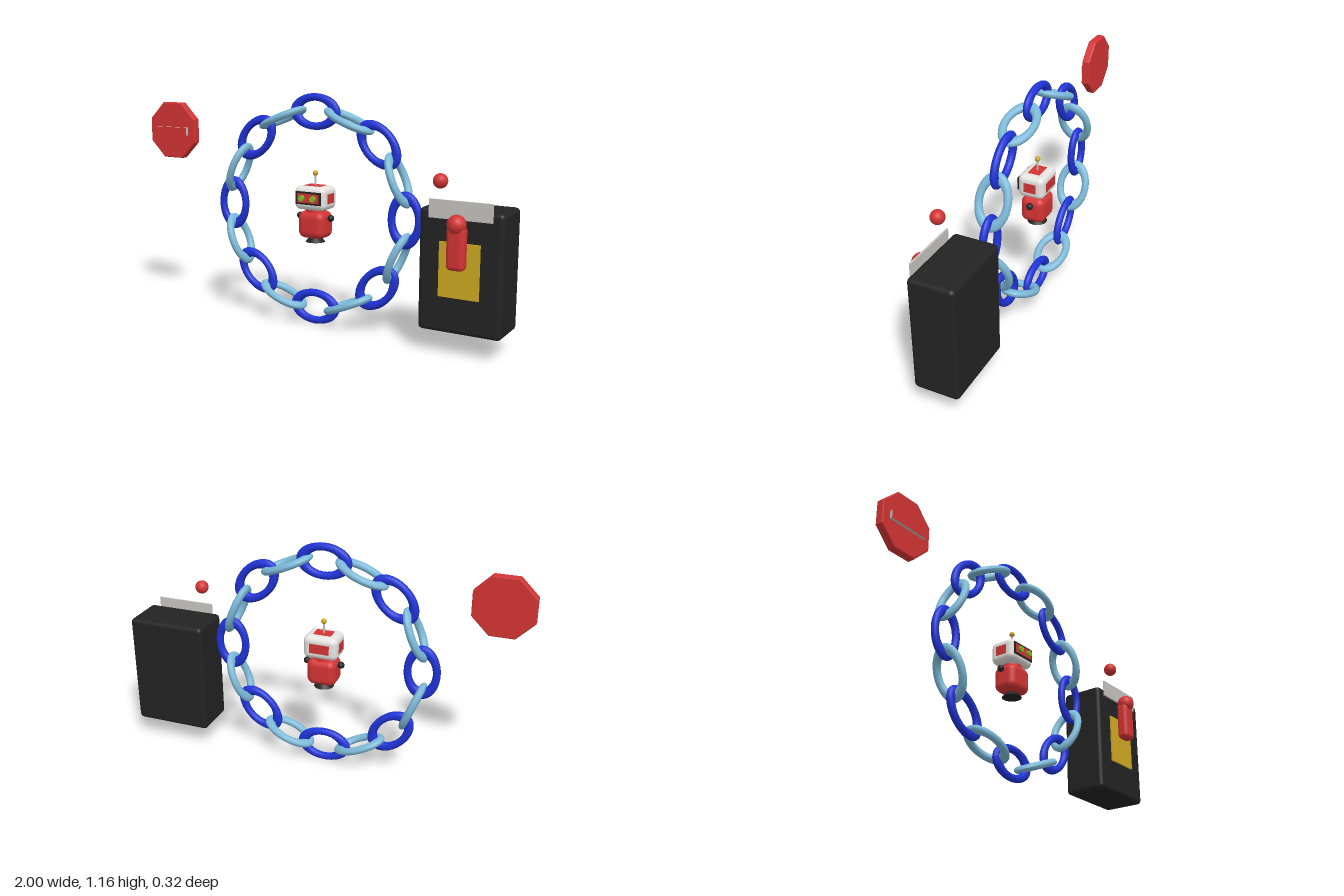
import * as THREE from 'three';
import { RoundedBoxGeometry } from 'three/addons/geometries/RoundedBoxGeometry.js';

export function createModel() {
  const root = new THREE.Group();
  const mat = (name, color) => {
    const m = new THREE.MeshStandardMaterial({ color });
    m.name = name;
    return m;
  };
  const red = mat('red', 0xd43434);
  const blue = mat('deep blue', 0x1f33d6);
  const sky = mat('light blue', 0x7cb9d8);
  const black = mat('black', 0x232323);
  const yellow = mat('yellow', 0xcfaa22);
  const grey = mat('grey', 0xc6c4c0);
  const white = mat('white', 0xe6e4e2);
  const green = mat('green', 0x78c02a);

  const add = (parent, name, geo, material, x = 0, y = 0, z = 0) => {
    const m = new THREE.Mesh(geo, material);
    m.name = name;
    m.position.set(x, y, z);
    parent.add(m);
    return m;
  };
  const box = (w, h, d) => new THREE.BoxGeometry(w, h, d);
  const rbox = (w, h, d, r) => new RoundedBoxGeometry(w, h, d, 4, r);
  const ball = (r) => new THREE.SphereGeometry(r, 24, 16);
  const group = (name, x, y, z) => {
    const g = new THREE.Group();
    g.name = name;
    g.position.set(x, y, z);
    root.add(g);
    return g;
  };

  // Ring of sixteen oval links, alternately flat and turned edge-on
  const chain = group('chain', -0.012, 0.591, -0.044);
  const linkGeo = new THREE.TorusGeometry(0.071, 0.0185, 16, 40);
  linkGeo.scale(1.55, 1, 1);
  linkGeo.computeVertexNormals();
  for (let i = 0; i < 16; i++) {
    const a = (i * Math.PI) / 8;
    const turned = i % 2 === 1;
    const holder = new THREE.Group();
    holder.name = 'chainLink' + i;
    holder.position.set(Math.sin(a) * 0.492, Math.cos(a) * 0.492, 0);
    holder.rotation.z = -a;
    chain.add(holder);
    const link = add(holder, turned ? 'turnedLink' : 'flatLink', linkGeo, turned ? sky : blue);
    if (turned) link.rotation.x = Math.PI / 2;
  }

  // Octagonal sign with a raised bar, pale on its edges
  const sign = group('sign', -0.854, 0.958, 0.003);
  const octagon = new THREE.Shape();
  const rad = 0.1395 / Math.cos(Math.PI / 8);
  for (let i = 0; i < 8; i++) {
    const a = Math.PI / 8 + (i * Math.PI) / 4;
    octagon[i ? 'lineTo' : 'moveTo'](Math.cos(a) * rad, Math.sin(a) * rad);
  }
  octagon.closePath();
  const plateGeo = new THREE.ExtrudeGeometry(octagon, {
    depth: 0.03, bevelEnabled: true, bevelSize: 0.006, bevelThickness: 0.006, bevelSegments: 2,
  });
  plateGeo.translate(0, 0, -0.015);
  add(sign, 'signPlate', plateGeo, red);
  add(sign, 'signBar', box(0.212, 0.042, 0.014), [grey, grey, grey, grey, red, grey], 0, -0.003, 0.032);

  // Switch cabinet with plates, lever and loose ball
  const cabinet = group('cabinet', 0.8, 0.4, -0.045);
  add(cabinet, 'cabinetBody', rbox(0.4, 0.572, 0.224, 0.022), black);
  add(cabinet, 'topPlate', box(0.3, 0.085, 0.009), grey, 0, 0.286, 0.1165);
  add(cabinet, 'frontPanel', box(0.193, 0.254, 0.009), yellow, 0, 0.013, 0.1165);
  add(cabinet, 'leverHandle', rbox(0.086, 0.2, 0.062, 0.022), red, 0, 0.124, 0.152);
  add(cabinet, 'leverKnob', ball(0.044), red, 0, 0.231, 0.16);
  add(cabinet, 'floatingBall', ball(0.034), red, -0.094, 0.413, 0.127);

  // Small robot in the middle of the ring
  const robot = group('robot', -0.012, 0, -0.046);
  add(robot, 'foot', new THREE.CylinderGeometry(0.024, 0.049, 0.03, 32), black, 0, 0.451, 0);
  add(robot, 'body', rbox(0.148, 0.136, 0.125, 0.036), red, 0, 0.525, 0);
  add(robot, 'neck', new THREE.CylinderGeometry(0.048, 0.05, 0.03, 32), red, 0, 0.592, 0);
  add(robot, 'head', rbox(0.174, 0.118, 0.138, 0.03), white, 0, 0.66, 0);
  for (const s of [-1, 1]) {
    add(robot, s > 0 ? 'leftHand' : 'rightHand', ball(0.017), black, s * 0.088, 0.561, 0);
    add(robot, s > 0 ? 'leftEarPanel' : 'rightEarPanel', box(0.006, 0.048, 0.062), red, s * 0.086, 0.66, 0);
    const side = s > 0 ? 'left' : 'right';
    const eyeGeo = new THREE.CylinderGeometry(0.015, 0.015, 0.014, 24).rotateX(Math.PI / 2);
    add(robot, side + 'Eye', eyeGeo, green, s * 0.032, 0.663, 0.082);
    const pupilGeo = new THREE.CylinderGeometry(0.006, 0.006, 0.004, 16).rotateX(Math.PI / 2);
    add(robot, side + 'Pupil', pupilGeo, yellow, s * 0.032, 0.663, 0.09);
  }
  add(robot, 'topPanel', box(0.09, 0.006, 0.06), red, 0, 0.718, 0);
  add(robot, 'backPanel', box(0.1, 0.048, 0.006), red, 0, 0.66, -0.068);
  add(robot, 'faceFrame', box(0.14, 0.064, 0.02), black, 0, 0.663, 0.063);
  add(robot, 'facePanel', box(0.12, 0.046, 0.006), red, 0, 0.663, 0.073);
  add(robot, 'antennaRod', new THREE.CylinderGeometry(0.005, 0.005, 0.07, 12), grey, 0, 0.745, 0);
  add(robot, 'antennaTip', ball(0.0135), yellow, 0, 0.781, 0);

  return root;
}
